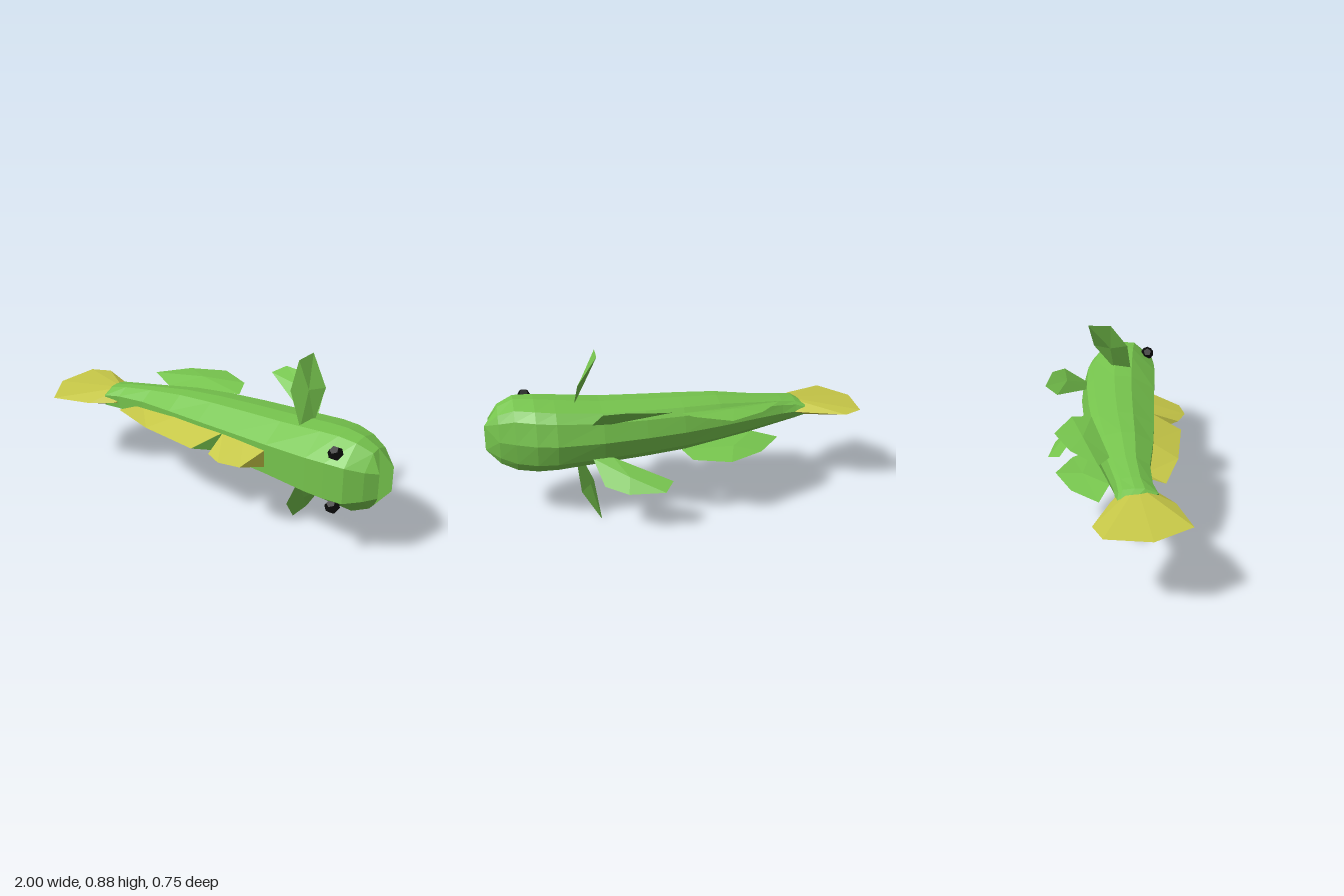
import * as THREE from 'three';

const mat = (name, color, open) => {
  const m = new THREE.MeshStandardMaterial({ color, flatShading: true });
  m.name = name;
  if (open) m.side = THREE.DoubleSide;
  return m;
};
const V = (x, y, z) => new THREE.Vector3(x, y, z);

// Turns a list of polygons (arrays of points) into a faceted mesh
function facets(name, polys, material) {
  const pos = [];
  for (const p of polys)
    for (let i = 1; i < p.length - 1; i++)
      for (const v of [p[0], p[i], p[i + 1]]) pos.push(v.x, v.y, v.z);
  const g = new THREE.BufferGeometry();
  g.setAttribute('position', new THREE.Float32BufferAttribute(pos, 3));
  g.computeVertexNormals();
  const mesh = new THREE.Mesh(g, material);
  mesh.name = name;
  return mesh;
}

// Sharp-rimmed blade swelling to a ridge point on each side
function lens(name, rim, thick, material, centre) {
  const c = centre || rim.reduce((s, p) => s.add(p), V(0, 0, 0)).divideScalar(rim.length);
  const n = V(0, 0, 0);
  rim.forEach((p, i) => {
    const q = rim[(i + 1) % rim.length];
    n.add(p.clone().sub(c).cross(q.clone().sub(c)));
  });
  n.normalize();
  const a = c.clone().addScaledVector(n, thick), b = c.clone().addScaledVector(n, -thick);
  const polys = [];
  rim.forEach((p, i) => {
    const q = rim[(i + 1) % rim.length];
    polys.push([p, q, a], [q, p, b]);
  });
  return facets(name, polys, material);
}

export function createModel() {
  const green = mat('skin green', 0x76c44d, true);
  const yellow = mat('fin yellow', 0xc8c948, true);
  const black = mat('eye black', 0x0b0b0b);
  const fish = new THREE.Group();
  fish.name = 'fish';
  const inner = new THREE.Group();
  inner.name = 'fishParts';
  inner.position.y = 0.442;
  fish.add(inner);

  // Body cross-section: [height from belly to back, share of half width]
  const half = [[1, 0.5], [0.683, 0.97], [0.45, 1], [0.17, 0.85], [0.07, 0.6]];
  const section = [...half, [0, 0], ...half.map(([t, w]) => [t, -w]).reverse()];
  // Stations: x, belly z, back z, half width
  const stations = [
    [-0.7, 0, 0.12, 0.028], [-0.64, 0, 0.2, 0.056], [-0.56, -0.01, 0.175, 0.07],
    [-0.4, -0.05, 0.165, 0.092], [-0.2, -0.105, 0.185, 0.122], [0, -0.15, 0.195, 0.136],
    [0.2, -0.178, 0.2, 0.146], [0.42, -0.197, 0.206, 0.157], [0.65, -0.195, 0.215, 0.18],
    [0.75, -0.172, 0.211, 0.189], [0.85, -0.122, 0.2, 0.188], [0.93, -0.075, 0.15, 0.153],
  ];
  const rings = stations.map(([x, z0, z1, w]) =>
    section.map(([t, s]) => V(x, s * w, z0 + (z1 - z0) * t)));
  const N = section.length;
  const polys = [];
  for (let i = 0; i < rings.length - 1; i++)
    for (let j = 0; j < N; j++) {
      const k = (j + 1) % N, r = rings[i], s = rings[i + 1];
      polys.push([r[j], s[j], s[k], r[k]]);
    }
  polys.push([...rings[0]]);

  // Snout with an open, wedge-shaped mouth
  const p = rings[rings.length - 1];
  const ul = V(0.98, 0.065, 0.1), ur = V(0.98, -0.065, 0.1);
  const ll = V(1, 0.065, 0.0), lr = V(1, -0.065, 0.0);
  const lips = [ul, ul, ll, ll, ll, lr, lr, lr, ur, ur];
  lips.forEach((lip, j) => polys.push([p[j], lip, p[j + 1]]));
  polys.push([p[10], ur, ul, p[0]], [p[5], ll, lr]);
  polys.push([p[2], ul, ur, p[8]], [p[2], p[8], lr, ll]);
  inner.add(facets('body', polys, green));

  // Tail fin
  const tail = [[-0.98, -0.05], [-0.88, -0.1], [-0.68, -0.025], [-0.56, 0.03], [-0.57, 0.19],
    [-0.68, 0.28], [-0.88, 0.35], [-1, 0.17]].map(([x, z]) => V(x, 0, z));
  inner.add(lens('tailFin', tail, 0.05, yellow, V(-0.6, 0, 0.1)));

  // Back fins: sharp rim [x, z], base [x, z, half width]
  const backFin = (name, rim, base, frontMaterial) => {
    const r = rim.map(([x, z]) => V(x, 0, z));
    const a = base.map(([x, z, w]) => V(x, w, z)), b = base.map(([x, z, w]) => V(x, -w, z));
    const e = r.length - 1, sides = [[r[0], b[0], a[0]]];
    for (let i = 0; i < e; i++)
      sides.push([a[i], r[i], r[i + 1], a[i + 1]], [b[i], b[i + 1], r[i + 1], r[i]]);
    inner.add(facets(name, sides, yellow));
    inner.add(facets(name + 'FrontFace', [[r[e], a[e], b[e]]], frontMaterial));
  };
  backFin('rearBackFin', [[-0.5, 0.24], [-0.25, 0.31], [0.07, 0.34]],
    [[-0.42, 0.14, 0.012], [-0.15, 0.17, 0.045], [0.155, 0.19, 0.052]], green);
  backFin('frontBackFin', [[0.17, 0.33], [0.26, 0.37], [0.37, 0.345]],
    [[0.155, 0.19, 0.052], [0.28, 0.19, 0.052], [0.42, 0.19, 0.05]], yellow);

  // Paired fins and eyes, mirrored across the body
  const paired = {
    sideFin: [0.012, [[0.53, 0.15, 0.075], [0.455, 0.318, 0.055], [0.44, 0.44, -0.035],
      [0.445, 0.44, -0.157], [0.54, 0.288, -0.13], [0.55, 0.15, -0.02]]],
    bellyFin: [0.012, [[0.1, 0.185, -0.31], [0.15, 0.212, -0.375], [0.33, 0.216, -0.35],
      [0.44, 0.19, -0.29], [0.48, 0.09, -0.165], [0.38, 0.09, -0.17]]],
    rearBellyFin: [0.015, [[-0.51, 0.1, -0.08], [-0.38, 0.11, -0.22], [-0.2, 0.112, -0.308],
      [-0.02, 0.118, -0.23], [0.02, 0.1, -0.13], [-0.38, 0.075, -0.03]]],
  };
  for (const [side, s] of [['upper', 1], ['lower', -1]]) {
    for (const [name, [thick, pts]] of Object.entries(paired))
      inner.add(lens(`${name}_${side}`, pts.map(([x, y, z]) => V(x, s * y, z)), thick, green));
    const eye = new THREE.Mesh(new THREE.DodecahedronGeometry(0.037), black);
    eye.name = `eye_${side}`;
    eye.position.set(0.787, s * 0.143, 0.174);
    inner.add(eye);
  }
  return fish;
}
